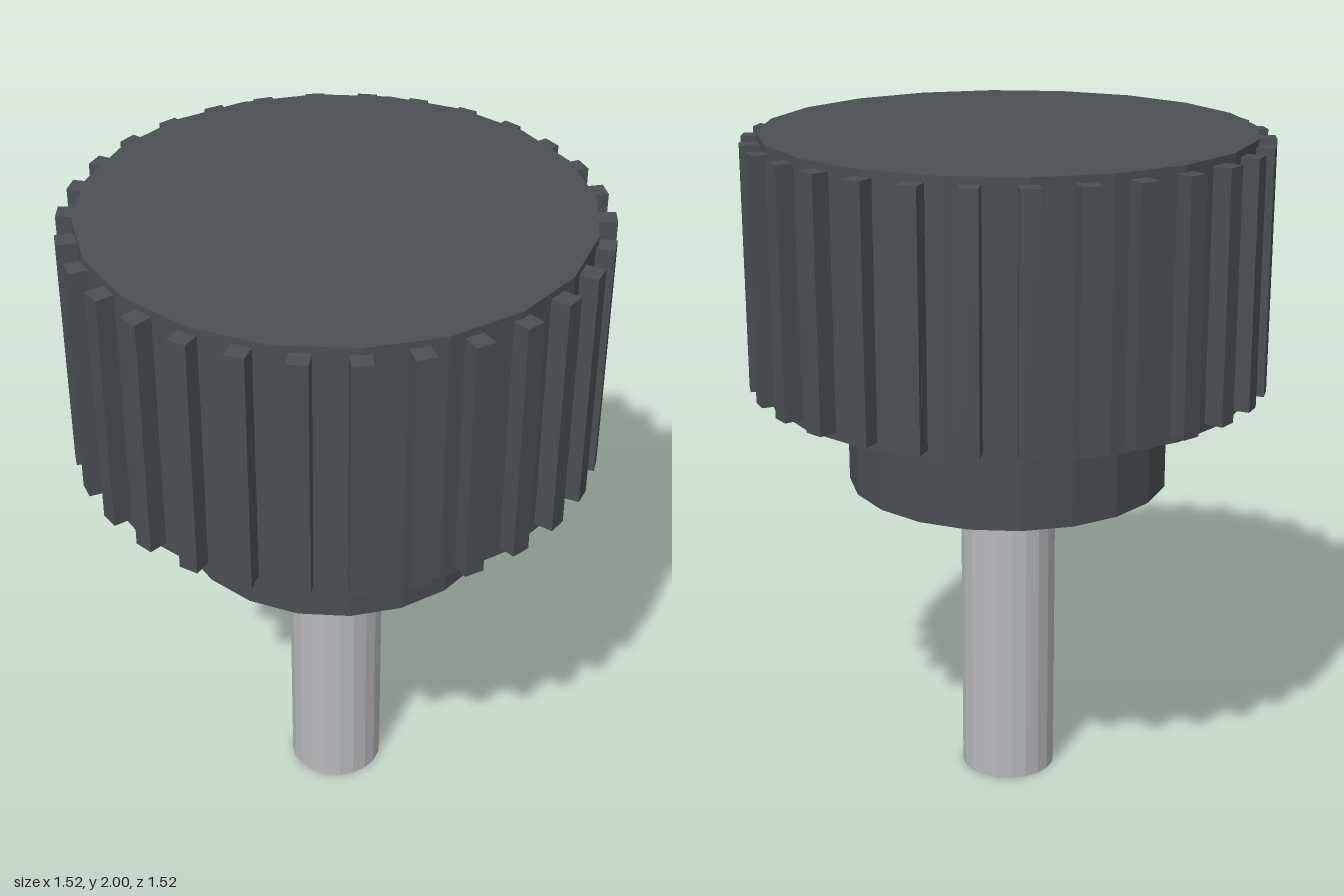
import * as THREE from 'three';

const SIDES = 20;
const RIBS = 30;

export function createModel() {
  const model = new THREE.Group();
  model.name = 'thumbScrew';

  const plastic = new THREE.MeshStandardMaterial({ color: 0x4b4f52, flatShading: true });
  plastic.name = 'dark grey plastic';
  const steel = new THREE.MeshStandardMaterial({ color: 0xb8b9bb, flatShading: true });
  steel.name = 'light steel';

  // Upright faceted cylinder between two heights
  const addCylinder = (name, radius, bottom, top, material) => {
    const geometry = new THREE.CylinderGeometry(radius, radius, top - bottom, SIDES);
    const mesh = new THREE.Mesh(geometry, material);
    mesh.name = name;
    mesh.position.y = (bottom + top) / 2;
    model.add(mesh);
  };

  addCylinder('shaft', 0.143, 0, 0.956, steel);
  addCylinder('collar', 0.477, 0.956, 1.243, plastic);
  addCylinder('knobHead', 0.715, 1.243, 2, plastic);

  // Grip ribs spaced evenly around the head
  const ribs = new THREE.Group();
  ribs.name = 'gripRibs';
  const ribGeometry = new THREE.BoxGeometry(0.095, 0.715, 0.057);
  for (let i = 0; i < RIBS; i++) {
    const angle = (i / RIBS) * Math.PI * 2;
    const rib = new THREE.Mesh(ribGeometry, plastic);
    rib.name = 'gripRib';
    rib.position.set(Math.cos(angle) * 0.7145, 1.6225, -Math.sin(angle) * 0.7145);
    rib.rotation.y = angle;
    ribs.add(rib);
  }
  model.add(ribs);

  return model;
}
